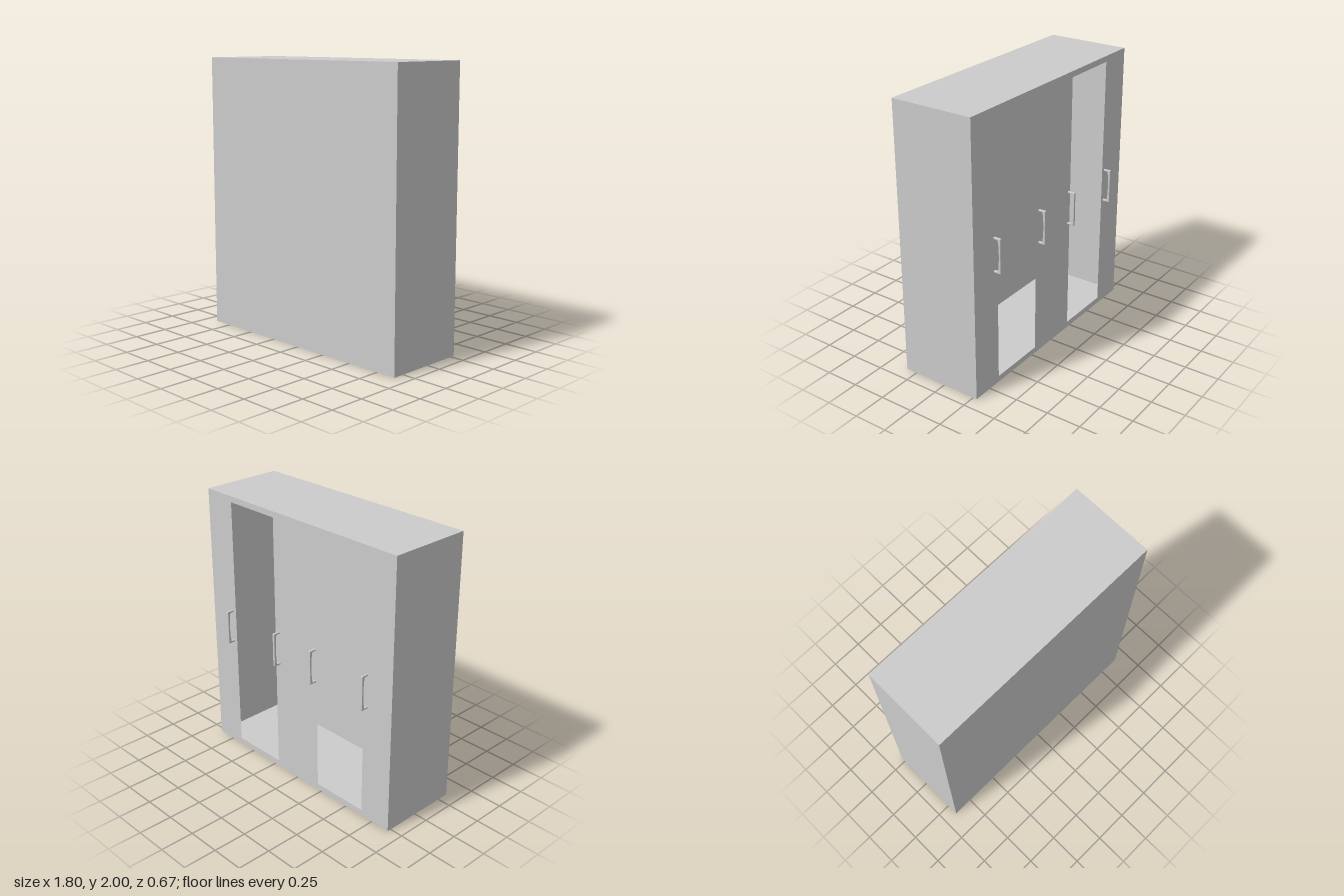
import * as THREE from 'three';

const W = 1.8, H = 2, BACK = 0.335, FRONT = -0.28; // doors face -z
const DEPTH = BACK - FRONT, MID_Z = (BACK + FRONT) / 2;

const material = new THREE.MeshStandardMaterial({ color: 0xcccccc, side: THREE.DoubleSide });

function addMesh(parent, name, geometry, x, y, z) {
  const mesh = new THREE.Mesh(geometry, material);
  mesh.name = name;
  mesh.position.set(x, y, z);
  parent.add(mesh);
  return mesh;
}

function rectangle(Type, x0, y0, x1, y1) {
  return new Type([[x0, y0], [x1, y0], [x1, y1], [x0, y1]].map(([x, y]) => new THREE.Vector2(x, y)));
}

// U-shaped pull: u runs outward from the door, v runs up
function handleGeometry() {
  const reach = 0.055, half = 0.128, bar = 0.014, bevel = 0.004, width = 0.018;
  const s = new THREE.Shape();
  s.moveTo(0, -half);
  s.lineTo(reach - 0.008, -half);
  s.quadraticCurveTo(reach, -half, reach, -half + 0.008);
  s.lineTo(reach, half - 0.008);
  s.quadraticCurveTo(reach, half, reach - 0.008, half);
  s.lineTo(0, half);
  s.lineTo(0, half - bar);
  s.lineTo(0.03, half - bar);
  // Slightly hollowed inner side of the grip
  s.bezierCurveTo(0.036, half - 0.025, 0.04, 0.05, 0.04, 0);
  s.bezierCurveTo(0.04, -0.05, 0.036, -half + 0.025, 0.03, -half + bar);
  s.lineTo(0, -half + bar);
  s.closePath();
  const geometry = new THREE.ExtrudeGeometry(s, {
    depth: width - 2 * bevel, bevelEnabled: true, bevelThickness: bevel,
    bevelSize: bevel, bevelOffset: -bevel, bevelSegments: 3, curveSegments: 8,
  });
  geometry.translate(0, 0, -(width - 2 * bevel) / 2);
  geometry.rotateY(Math.PI / 2);
  return geometry;
}

export function createModel() {
  const group = new THREE.Group();
  group.name = 'wardrobe';

  // Hollow carcass of thin sheets
  addMesh(group, 'rearPanel', new THREE.PlaneGeometry(W, H), 0, H / 2, BACK);
  for (const side of [-1, 1]) {
    const panel = new THREE.PlaneGeometry(DEPTH, H).rotateY(side * Math.PI / 2);
    addMesh(group, side > 0 ? 'leftPanel' : 'rightPanel', panel, side * W / 2, H / 2, MID_Z);
  }
  addMesh(group, 'topPanel', new THREE.PlaneGeometry(W, DEPTH).rotateX(-Math.PI / 2), 0, H, MID_Z);
  addMesh(group, 'bottomPanel', new THREE.PlaneGeometry(W, DEPTH).rotateX(Math.PI / 2), 0, 0, MID_Z);

  // Door side with two tall openings
  const face = rectangle(THREE.Shape, -W / 2, 0, W / 2, H);
  for (const [x0, x1] of [[-0.65, -0.212], [0.212, 0.65]]) {
    face.holes.push(rectangle(THREE.Path, x0, 0.045, x1, 1.957));
  }
  const faceGeometry = new THREE.ShapeGeometry(face).rotateY(Math.PI);
  addMesh(group, 'doorFrame', faceGeometry, 0, 0, FRONT);

  // Door pulls beside the openings
  const pull = handleGeometry();
  for (const x of [-0.68, -0.19, 0.175, 0.683]) {
    addMesh(group, 'doorHandle', pull, x, 1.002, FRONT);
  }
  return group;
}
